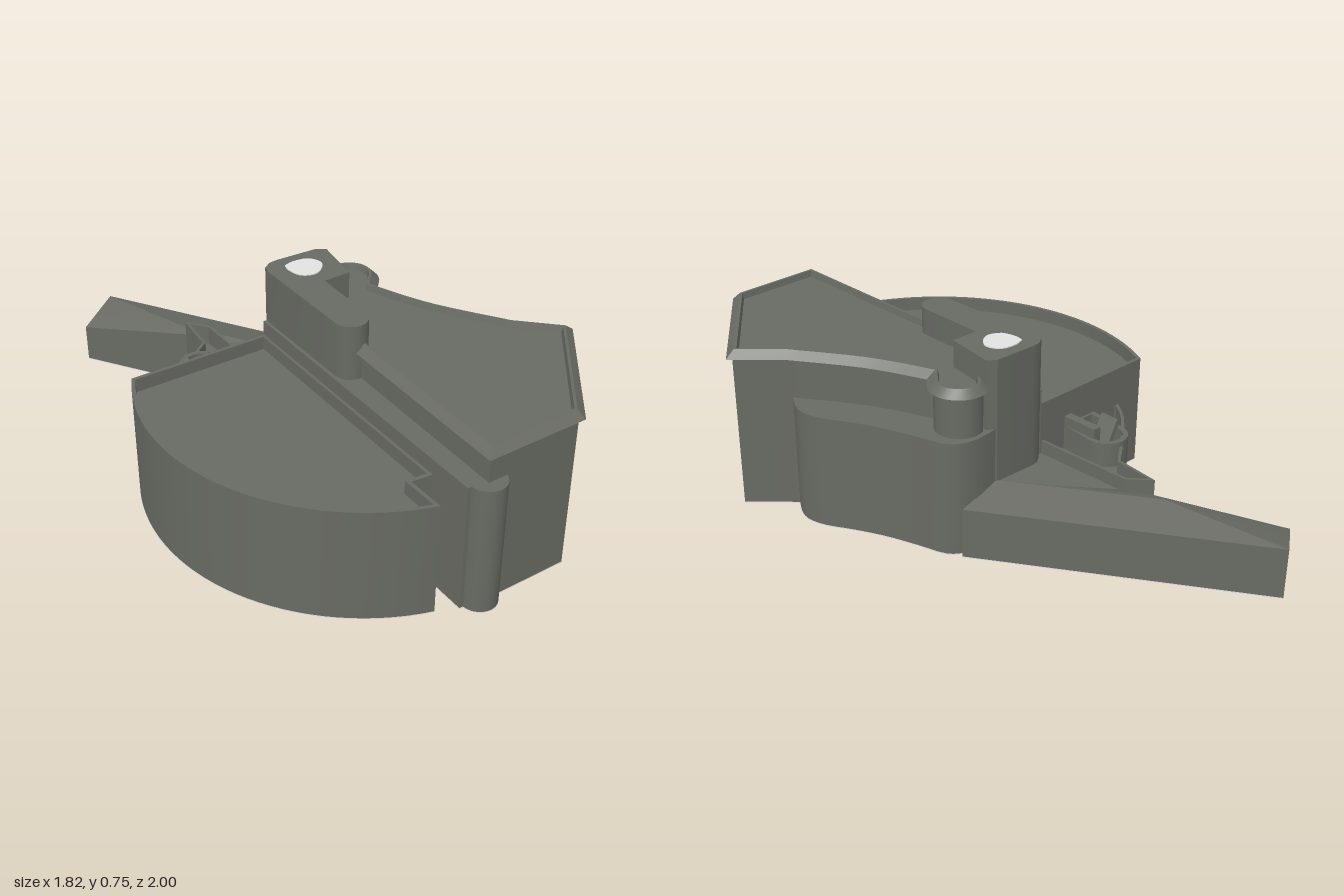
import * as THREE from 'three';
import { toCreasedNormals } from 'three/addons/utils/BufferGeometryUtils.js';
import { ConvexGeometry } from 'three/addons/geometries/ConvexGeometry.js';

const SOLE = 0.004; // thickness of the pale underside
const V2 = (x, z) => new THREE.Vector2(x, -z);

// smooth run of plan points [x, z]
function curve(pts, n) {
  return new THREE.SplineCurve(pts.map(p => new THREE.Vector2(...p))).getPoints(n).map(p => [p.x, p.y]);
}

// arc of plan points around a centre
function arc(cx, cz, r, a0, a1, n) {
  return Array.from({ length: n + 1 }, (_, i) => {
    const a = a0 + (a1 - a0) * i / n;
    return [cx + r * Math.cos(a), cz + r * Math.sin(a)];
  });
}

// mitred inset of a counterclockwise outline
function inset(o, d) {
  return o.map((p, i) => {
    const a = o[(i + o.length - 1) % o.length], b = o[(i + 1) % o.length];
    const e = p.clone().sub(a).normalize(), f = b.clone().sub(p).normalize();
    const n = new THREE.Vector2(-e.y - f.y, e.x + f.x).normalize();
    const k = Math.max(0.5, n.x * -f.y + n.y * f.x);
    return p.clone().addScaledVector(n, d / k);
  });
}

// closed solid through steps of [inset, height] of one plan outline
function loft(plan, steps) {
  const o = plan.map(p => V2(...p));
  if (THREE.ShapeUtils.isClockWise(o)) o.reverse();
  const rings = steps.map(([d, y]) => inset(o, d).map(p => [p.x, y, -p.y]));
  const out = [];
  for (let r = 0; r + 1 < rings.length; r++) {
    const lo = rings[r], hi = rings[r + 1];
    for (let i = 0; i < o.length; i++) {
      const j = (i + 1) % o.length;
      out.push(...lo[i], ...lo[j], ...hi[j], ...lo[i], ...hi[j], ...hi[i]);
    }
  }
  const cap = (ring, flip) => {
    for (const [a, b, c] of THREE.ShapeUtils.triangulateShape(ring.map(p => V2(p[0], p[2])), [])) {
      out.push(...ring[a], ...ring[flip ? c : b], ...ring[flip ? b : c]);
    }
  };
  cap(rings[0], true);
  cap(rings[rings.length - 1], false);
  const g = new THREE.BufferGeometry();
  g.setAttribute('position', new THREE.Float32BufferAttribute(out, 3));
  return toCreasedNormals(g, 0.5);
}

export function createModel() {
  const group = new THREE.Group();
  const grey = new THREE.MeshStandardMaterial({ color: 0x686a63 });
  grey.name = 'stone grey';
  const white = new THREE.MeshStandardMaterial({ color: 0xe2e2e2 });
  white.name = 'pale white';

  const add = (name, geometry, material = grey) => {
    const m = new THREE.Mesh(geometry, material);
    m.name = name;
    group.add(m);
    return m;
  };
  // part standing on the ground, with a thin pale sole under it
  const addStanding = (name, plan, steps) => {
    const d = steps[0][0];
    add(name, loft(plan, [[d, SOLE], ...steps]));
    add(name + 'Underside', loft(plan, [[d, 0], [d, SOLE]]), white);
  };

  // half-round hall with a thin parapet and a notch at the seam
  const drum = [...arc(0.135, 0.135, 0.845, 3.207, 1.411, 32), [0.2, 0.83], [0.28, 0.8], [-0.19, -0.17]];
  addStanding('halfRoundHall', drum, [[0, 0.46], [0.015, 0.46], [0.015, 0.405]]);

  // angular hall with concave back, curled corner and flared lip
  const hall = [
    [0.09, 0.27], [0.42, 0.975], [0.79, 0.79], [0.91, 0.22],
    ...curve([[0.7, 0.15], [0.48, 0.02], [0.36, -0.07], [0.25, -0.17]], 10),
    ...arc(0.155, -0.255, 0.115, 0.35, -2.5, 14),
    [0.03, -0.2], [-0.02, 0.03],
  ];
  addStanding('angularHall', hall, [[0.022, 0.63]]);
  add('angularHallLip', loft(hall, [[0.022, 0.625], [0, 0.63], [0.03, 0.66], [0.04, 0.66], [0.045, 0.635]]));

  // lower lobe behind the angular hall
  const lobe = [
    [0.03, -0.31],
    ...curve([[0.12, -0.365], [0.19, -0.378], [0.25, -0.355], [0.32, -0.28], [0.42, -0.18],
      [0.52, -0.1], [0.62, -0.03], [0.67, 0.03], [0.685, 0.09], [0.68, 0.16]], 24),
    [0.6, 0.25], [0.1, 0.1],
  ];
  addStanding('rearLobe', lobe, [[0, 0.465]]);

  // dividing wall and its rounded end column
  addStanding('dividingWall', [[-0.194, -0.17], [0.357, 0.965], [0.48, 0.91], [0.0, -0.2]], [[0, 0.52]]);
  addStanding('endColumn', arc(0.432, 0.925, 0.07, 0, Math.PI * 23 / 12, 23), [[0, 0.52]]);

  // tower with a long round-ended arm
  const tower = [
    [0.07, -0.31], [0.13, -0.11], [0.03, -0.06],
    ...arc(0.085, 0.22, 0.066, -0.45, 2.69, 12),
    [-0.17, -0.15], [-0.18, -0.19], [-0.16, -0.225], [-0.13, -0.245], [0.03, -0.315],
  ];
  addStanding('tower', tower, [[0, 0.742]]);
  const patch = curve([[-0.105, -0.19], [-0.07, -0.22], [-0.01, -0.235], [0.035, -0.2], [0.03, -0.15],
    [0, -0.112], [-0.055, -0.11], [-0.095, -0.155], [-0.105, -0.19]], 24).slice(0, -1);
  add('towerPatch', loft(patch, [[0, 0.74], [0, 0.746]]), white);

  // long rear bar with gently sloping top
  const bar = [[-0.8, -1, 0.205], [0.19, -0.4, 0.205], [0.03, -0.31, 0.25], [-0.48, -0.57, 0.24], [-0.91, -0.82, 0.16]];
  add('rearBar', toCreasedNormals(new ConvexGeometry([
    ...bar.flatMap(([x, z, y]) => [new THREE.Vector3(x, SOLE, z), new THREE.Vector3(x, y, z)]),
    new THREE.Vector3(-0.5, 0.25, -0.63),
  ]), 0.5));
  add('rearBarUnderside', loft(bar, [[0, 0], [0, SOLE]]), white);
  addStanding('rearBase', [[-0.38, -0.51], [0.03, -0.32], [0.08, -0.15], [-0.2, -0.1]], [[0, 0.247]]);

  // curved side wing with sunken floor
  const wing = [
    [-0.485, -0.57],
    ...curve([[-0.425, -0.4], [-0.515, -0.22], [-0.575, -0.08], [-0.595, 0.02]], 12),
    [-0.55, 0.05], [-0.18, -0.13], [-0.385, -0.53],
  ];
  addStanding('sideWing', wing, [[0, 0.3], [0.012, 0.3], [0.012, 0.22]]);

  // small rounded stall with its post and sloping panel
  const stall = [...arc(-0.44, -0.22, 0.085, 2.7, 5.9, 10), [-0.31, -0.1], [-0.46, -0.03]];
  add('stall', loft(stall, [[0, 0.1], [0, 0.32], [0.02, 0.32], [0.02, 0.24]]));
  const post = add('stallPost', new THREE.BoxGeometry(0.035, 0.35, 0.16));
  post.position.set(-0.36, 0.185, -0.17);
  post.rotation.y = 0.44;
  const panel = add('stallPanel', new THREE.BoxGeometry(0.17, 0.02, 0.08));
  panel.position.set(-0.45, 0.28, -0.175);
  panel.rotation.set(0, 0.44, -1.1);

  return group;
}
